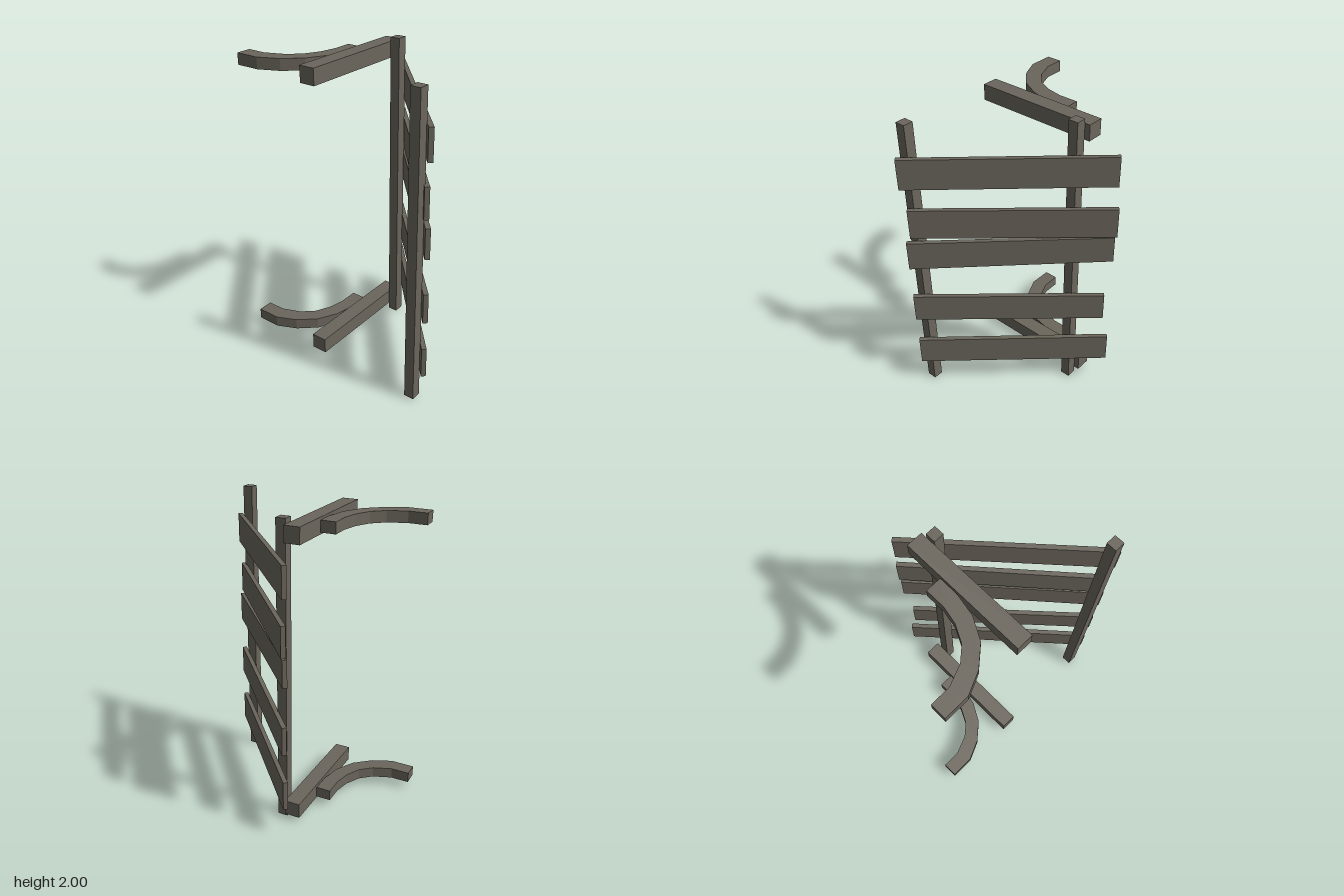
import * as THREE from 'three';

const wood = new THREE.MeshStandardMaterial({ color: 0x6b665c });
wood.name = 'weatheredWood';

function add(group, name, geometry, x, y, z) {
  const mesh = new THREE.Mesh(geometry, wood);
  mesh.name = name;
  mesh.position.set(x, y, z);
  group.add(mesh);
  return mesh;
}

// Plank whose two ends have their own bottom and top heights
function plankGeometry(length, left, right) {
  const geo = new THREE.BoxGeometry(length, 1, 0.03);
  const p = geo.attributes.position;
  for (let i = 0; i < p.count; i++) {
    const [bottom, top] = p.getX(i) < 0 ? left : right;
    p.setY(i, p.getY(i) < 0 ? bottom : top);
  }
  geo.computeVertexNormals();
  return geo;
}

// Curved brace outline, seen from above as [x, z]
const braceOutline = [
  [-0.49, -0.685], [-0.49, -0.527], [-0.432, -0.397], [-0.336, -0.286],
  [-0.208, -0.217], [-0.07, -0.19], [0.057, -0.19],
  [0.057, -0.288], [-0.07, -0.288], [-0.175, -0.31], [-0.275, -0.361],
  [-0.344, -0.44], [-0.392, -0.562], [-0.392, -0.685],
];

function braceGeometry(height) {
  const shape = new THREE.Shape(braceOutline.map(([x, z]) => new THREE.Vector2(x, -z)));
  const geo = new THREE.ExtrudeGeometry(shape, { depth: height, bevelEnabled: false });
  geo.rotateX(-Math.PI / 2);
  return geo;
}

export function createModel() {
  const model = new THREE.Group();
  model.name = 'plankBarrier';

  // Upright posts
  add(model, 'rightPost', new THREE.BoxGeometry(0.065, 1.985, 0.065), -0.458, 1.003, 0.584);
  add(model, 'leftPost', new THREE.BoxGeometry(0.065, 2, 0.065), 0.243, 1, -0.047);

  // Cross beams with curved braces behind, at bottom and top
  for (const [level, y] of [['lower', 0.09], ['upper', 1.92]]) {
    add(model, level + 'Beam', new THREE.BoxGeometry(0.806, 0.102, 0.103), -0.094, y, -0.134);
    add(model, level + 'Brace', braceGeometry(0.073), 0, y - 0.0365, 0);
  }

  // Diagonal planks: centre x, centre z, length, yaw, [bottom, top] at each end
  const planks = [
    [0, 0.25, 1.263, 42, [0.205, 0.405], [0.205, 0.405]],
    [-0.016, 0.262, 1.225, 42.2, [0.595, 0.79], [0.577, 0.77]],
    [0, 0.25, 1.263, 42, [1.02, 1.215], [1.056, 1.237]],
    [0.016, 0.238, 1.246, 41.2, [1.25, 1.45], [1.25, 1.45]],
    [0, 0.25, 1.263, 42, [1.6, 1.797], [1.6, 1.797]],
  ];
  planks.forEach(([x, z, length, yaw, left, right], i) => {
    const plank = add(model, 'plank' + (i + 1), plankGeometry(length, left, right), x, 0, z);
    plank.rotation.y = THREE.MathUtils.degToRad(yaw);
  });

  return model;
}
